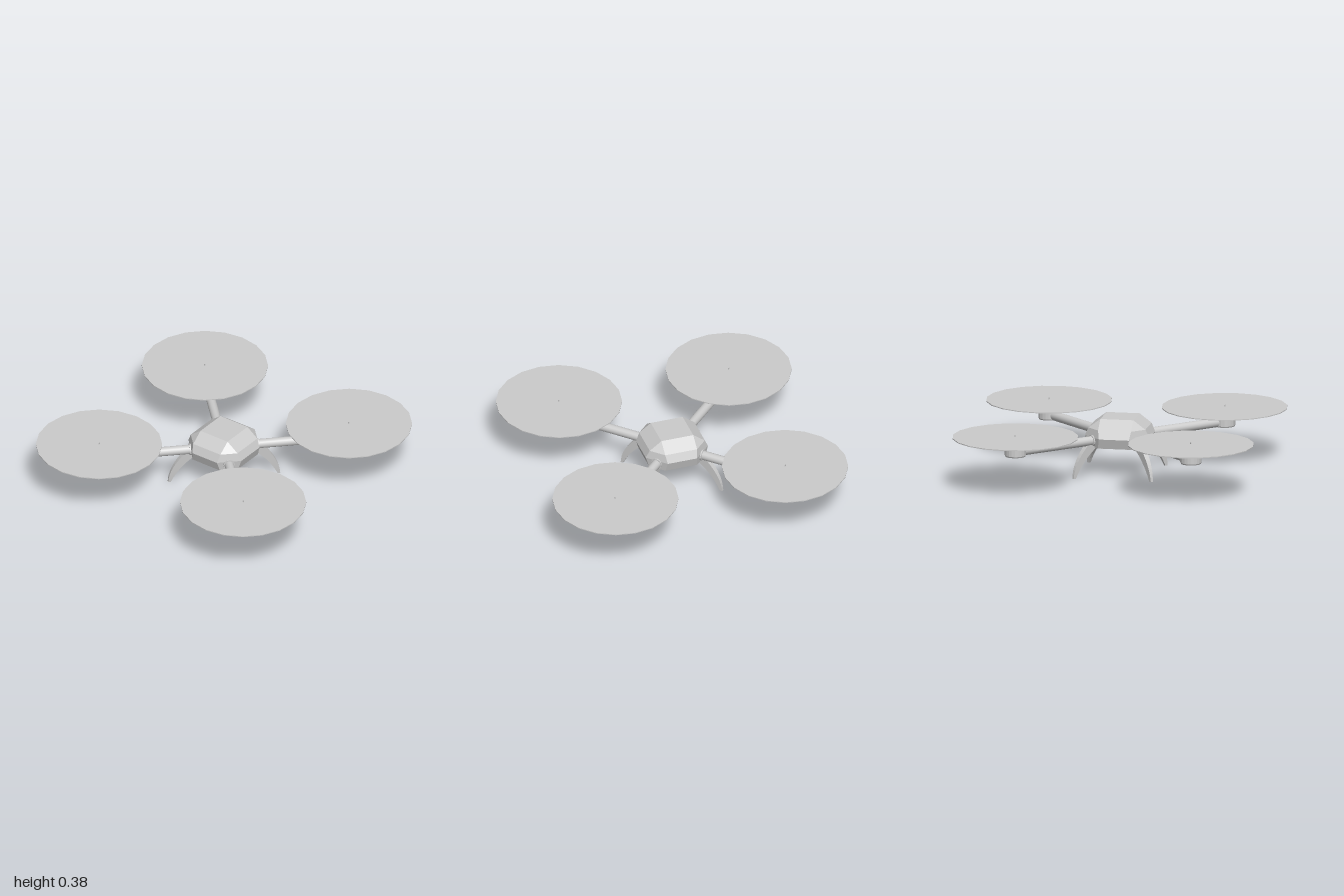
import * as THREE from 'three';

const mat = new THREE.MeshStandardMaterial({ color: 0xcccccc, flatShading: true, side: THREE.DoubleSide });
const smooth = new THREE.MeshStandardMaterial({ color: 0xcccccc });

function add(parent, name, geometry, material = mat, x = 0, y = 0, z = 0) {
  const mesh = new THREE.Mesh(geometry, material);
  mesh.name = name;
  mesh.position.set(x, y, z);
  parent.add(mesh);
  return mesh;
}

// Eight corners: half extent e, half length f of each straight side
function octagon(e, f) {
  return [[f, e], [e, f], [e, -f], [f, -e], [-f, -e], [-e, -f], [-e, f], [-f, e]];
}

// Faceted canopy lofted through octagonal sections, closed at the top
function canopyGeometry() {
  const sections = [[0.195, 0.195, 0.11], [0.26, 0.215, 0.1], [0.315, 0.19, 0.11], [0.375, 0.11, 0.11]];
  const pos = [], index = [];
  for (const [y, e, f] of sections) for (const [x, z] of octagon(e, f)) pos.push(x, y, z);
  for (let s = 0; s < sections.length - 1; s++) {
    for (let i = 0; i < 8; i++) {
      const a = s * 8 + i, b = s * 8 + (i + 1) % 8;
      index.push(a, b, b + 8, a, b + 8, a + 8);
    }
  }
  const top = (sections.length - 1) * 8;
  for (let i = 1; i < 7; i++) index.push(top, top + i, top + i + 1);
  const g = new THREE.BufferGeometry();
  g.setAttribute('position', new THREE.Float32BufferAttribute(pos, 3));
  g.setIndex(index);
  const flat = g.toNonIndexed();
  flat.computeVertexNormals();
  return flat;
}

// Octagonal ring of the belly frame
function frameRing(e, f, w, h) {
  const shape = new THREE.Shape(octagon(e, f).map(p => new THREE.Vector2(...p)));
  shape.holes.push(new THREE.Path(octagon(e - w, f - w * 0.4).map(p => new THREE.Vector2(...p))));
  return new THREE.ExtrudeGeometry(shape, { depth: h, bevelEnabled: false }).rotateX(-Math.PI / 2);
}

// Curved leg, thinning toward the foot
function legGeometry() {
  const s = new THREE.Shape();
  s.moveTo(0.372, 0);
  s.quadraticCurveTo(0.365, 0.11, 0.265, 0.215);
  s.lineTo(0.165, 0.215);
  s.quadraticCurveTo(0.29, 0.14, 0.354, 0);
  const g = new THREE.ExtrudeGeometry(s, { depth: 0.04, bevelEnabled: false, curveSegments: 8 });
  g.translate(0, 0, -0.02);
  const p = g.attributes.position;
  for (let i = 0; i < p.count; i++) p.setZ(i, p.getZ(i) * (0.4 + 0.6 * p.getY(i) / 0.215));
  g.computeVertexNormals();
  return g;
}

// Motor bell with a bevelled rim and a recessed underside
function motorGeometry() {
  const profile = [[0.001, 0.225], [0.055, 0.225], [0.055, 0.208], [0.066, 0.208], [0.07, 0.216], [0.07, 0.282],
    [0.062, 0.293], [0.05, 0.297], [0.03, 0.308], [0.001, 0.308]];
  return new THREE.LatheGeometry(profile.map(([r, y]) => new THREE.Vector2(r, y)), 20);
}

function makeArm() {
  const arm = new THREE.Group();
  const reach = 0.828;
  const tube = (r, l) => new THREE.CylinderGeometry(r, r, l, 16).rotateZ(Math.PI / 2);
  add(arm, 'armTube', tube(0.031, 0.67), smooth, 0.435, 0.238);
  add(arm, 'armCollar', tube(0.038, 0.09), mat, 0.185, 0.238);
  add(arm, 'leg', legGeometry());
  add(arm, 'motor', motorGeometry(), mat, reach);
  add(arm, 'motorHub', new THREE.CylinderGeometry(0.016, 0.016, 0.02, 12), mat, reach, 0.218);
  // Spokes under the motor
  for (let i = 0; i < 3; i++) {
    const spoke = add(arm, 'motorSpoke', new THREE.BoxGeometry(0.114, 0.008, 0.01), mat, reach, 0.216);
    spoke.rotation.y = i * Math.PI / 3;
  }
  add(arm, 'propellerShaft', new THREE.CylinderGeometry(0.005, 0.005, 0.05, 8), mat, reach, 0.325);
  const rotor = add(arm, 'rotorDisc', new THREE.CylinderGeometry(0.414, 0.414, 0.006, 20), mat, reach, 0.335);
  rotor.rotation.y = Math.PI / 4;
  return arm;
}

export function createModel() {
  const model = new THREE.Group();
  model.name = 'quadcopter';

  add(model, 'canopy', canopyGeometry());

  // Belly: two open rings, posts, diagonal braces and a central tray
  const belly = new THREE.Group();
  belly.name = 'bellyFrame';
  add(belly, 'lowerRing', frameRing(0.175, 0.095, 0.025, 0.01), mat, 0, 0.19);
  add(belly, 'upperRing', frameRing(0.185, 0.1, 0.03, 0.01), mat, 0, 0.265);
  add(belly, 'centralTray', new THREE.BoxGeometry(0.1, 0.02, 0.33), mat, 0, 0.202);
  for (const z of [-0.06, 0.06]) {
    add(belly, 'crossBar', new THREE.BoxGeometry(0.33, 0.01, 0.02), mat, 0, 0.2, z);
  }
  for (const turn of [1, -1]) {
    const brace = add(belly, 'diagonalBrace', new THREE.BoxGeometry(0.36, 0.012, 0.03), mat, 0, 0.215);
    brace.rotation.y = turn * Math.PI / 4;
  }
  for (const [x, z] of octagon(0.16, 0.085)) {
    add(belly, 'post', new THREE.CylinderGeometry(0.008, 0.008, 0.07, 8), mat, x, 0.23, z);
  }
  model.add(belly);

  // Four arms on the diagonals, each with its leg, motor and rotor
  for (let i = 0; i < 4; i++) {
    const arm = makeArm();
    arm.name = ['backLeftArm', 'backRightArm', 'frontRightArm', 'frontLeftArm'][i];
    arm.rotation.y = Math.PI / 4 + i * Math.PI / 2;
    model.add(arm);
  }
  return model;
}
